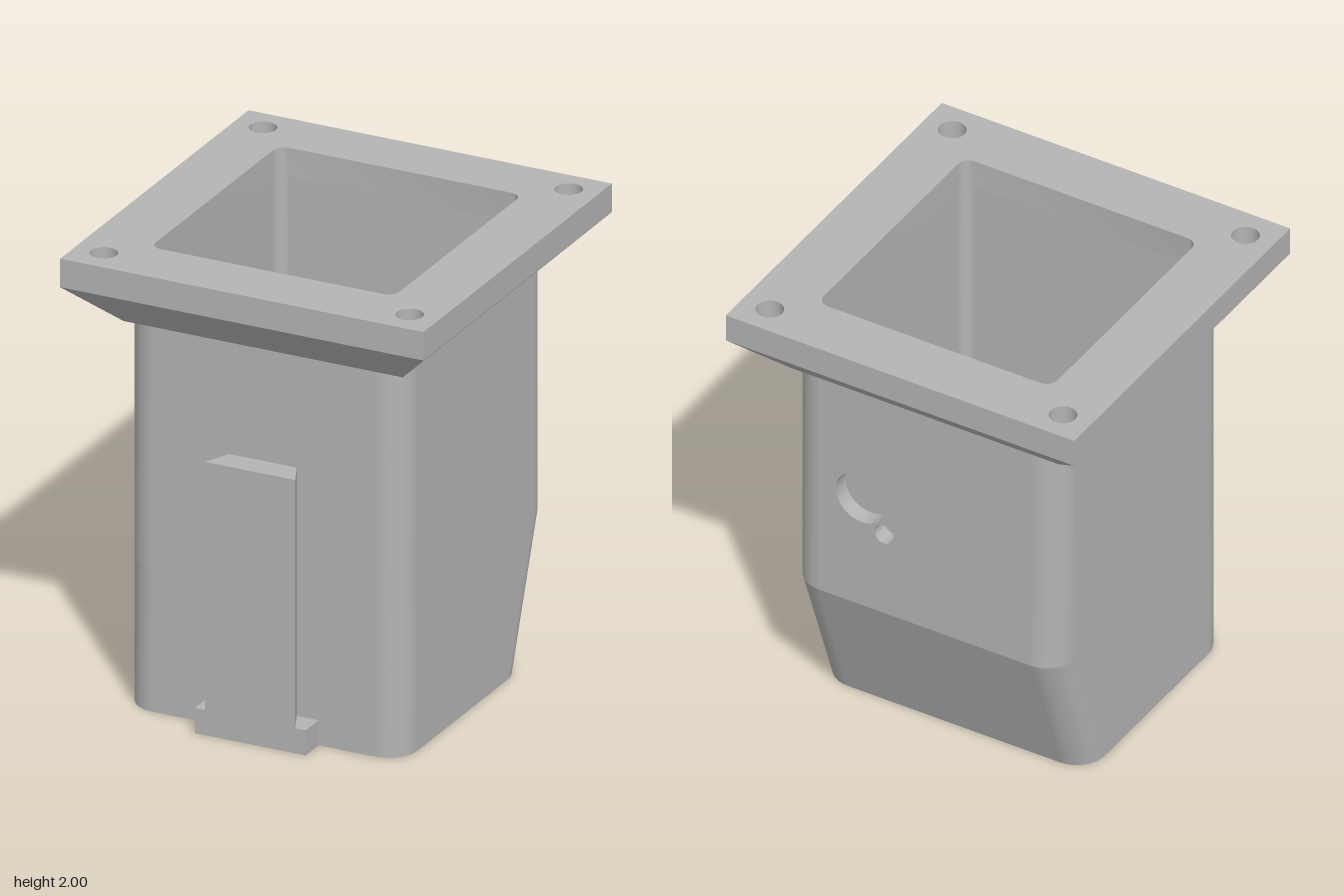
import * as THREE from 'three';
import { toCreasedNormals } from 'three/addons/utils/BufferGeometryUtils.js';

const ARC = 8; // segments per rounded corner

// Rounded rectangle in plan as (x, z) points; n = 0 gives sharp corners
function outline(halfX, front, back, r, n = ARC) {
  const pts = [];
  const corners = [[1, front - r], [-1, front - r], [-1, back + r], [1, back + r]];
  corners.forEach(([side, cz], q) => {
    for (let i = 0; i <= n; i++) {
      const a = (q + (n ? i / n : 0)) * Math.PI / 2;
      pts.push(new THREE.Vector2(side * (halfX - r) + r * Math.cos(a), cz + r * Math.sin(a)));
    }
  });
  return pts;
}

// Wall between two plan outlines; can face inward and leave out its flat back
function loft(lower, y0, upper, y1, { inward = false, openBack = false, flat = false } = {}) {
  const n = lower.length, pos = [], index = [];
  lower.forEach(p => pos.push(p.x, y0, p.y));
  upper.forEach(p => pos.push(p.x, y1, p.y));
  for (let i = 0; i < n; i++) {
    if (openBack && i === n * 3 / 4 - 1) continue;
    const j = (i + 1) % n;
    if (inward) index.push(i, j, n + i, j, n + j, n + i);
    else index.push(i, n + i, j, j, n + i, n + j);
  }
  let geo = new THREE.BufferGeometry();
  geo.setAttribute('position', new THREE.Float32BufferAttribute(pos, 3));
  geo.setIndex(index);
  if (flat) geo = geo.toNonIndexed();
  geo.computeVertexNormals();
  return geo;
}

function circle(x, y, r) {
  return new THREE.Path().absarc(x, y, r, 0, Math.PI * 2, true);
}

function extrude(shape, depth) {
  const geo = new THREE.ExtrudeGeometry(shape, { depth, bevelEnabled: false, curveSegments: 16 });
  return toCreasedNormals(geo, 0.6);
}

// Horizontal plate from a plan shape, hanging down from height top
function slab(shape, top, depth) {
  return extrude(shape, depth).rotateX(Math.PI / 2).translate(0, top, 0);
}

// Horizontal face looking down
function underside(shape, y) {
  return new THREE.ShapeGeometry(shape).rotateX(Math.PI / 2).translate(0, y, 0);
}

export function createModel() {
  const model = new THREE.Group();
  const grey = new THREE.MeshStandardMaterial({ color: 0xb4b4b4 });
  grey.name = 'plain grey';
  const add = (name, geo, parent = model) => {
    const mesh = new THREE.Mesh(geo, grey);
    mesh.name = name;
    parent.add(mesh);
    return mesh;
  };

  const kink = 0.63, neck = 1.69, lip = 1.875, floorY = 0.08;
  const outer = outline(0.63, 0.65, -0.65, 0.13);
  const outerFoot = outline(0.63, 0.65, -0.42, 0.13);
  const inner = outline(0.55, 0.57, -0.575, 0.05);
  const innerFoot = outline(0.55, 0.57, -0.37, 0.05);

  // Hollow body with a back that slopes in towards the foot
  const body = new THREE.Group();
  body.name = 'body';
  model.add(body);
  add('outerLowerWall', loft(outerFoot, 0, outer, kink), body);
  add('outerUpperWall', loft(outer, kink, outer, neck, { openBack: true }), body);
  add('innerLowerWall', loft(innerFoot, floorY, inner, kink, { inward: true }), body);
  add('innerUpperWall', loft(inner, kink, inner, neck, { inward: true, openBack: true }), body);
  add('innerNeckWall', loft(inner, neck, inner, lip, { inward: true }), body);
  add('bottom', underside(new THREE.Shape(outerFoot), 0), body);

  // Flat back panel with a large and a small through hole
  const panel = new THREE.Shape(outline(0.5, neck, kink, 0, 0));
  panel.holes.push(circle(0.295, 1.167, 0.122), circle(0.19, 1.024, 0.045));
  add('backPanel', extrude(panel, 0.075).translate(0, 0, -0.65), body);

  // Cavity floor with four shallow slots
  const floor = new THREE.Shape(innerFoot);
  for (const side of [-1, 1]) {
    for (const z of [0.2575, 0.3725]) {
      const slot = outline(0.14, z + 0.018, z - 0.018, 0, 0);
      slot.forEach(p => { p.x += side * 0.235; });
      floor.holes.push(new THREE.Path(slot));
    }
  }
  add('slottedFloor', slab(floor, floorY, 0.04), body);
  add('slotBase', new THREE.BoxGeometry(1, 0.01, 0.3).translate(0, 0.035, 0.32), body);

  // Square flange with blind screw holes
  const rim = outline(0.82, 0.84, -0.84, 0, 0);
  const flange = new THREE.Shape(rim);
  flange.holes.push(new THREE.Path(inner));
  for (const x of [-0.69, 0.69]) {
    for (const z of [-0.712, 0.707]) {
      flange.holes.push(circle(x, z, 0.058));
      const base = new THREE.CircleGeometry(0.065, 24).rotateX(-Math.PI / 2);
      add('screwHoleBase', base.translate(x, lip + 0.002, z));
    }
  }
  add('flange', slab(flange, 2, 2 - lip));

  // Tapered collar under the flange, square where it meets the rounded body
  const collarFoot = outline(0.63, 0.65, -0.65, 0, 0);
  add('collar', loft(collarFoot, neck, rim, lip, { flat: true }));
  const collarBase = new THREE.Shape(collarFoot);
  collarBase.holes.push(new THREE.Path(outline(0.629, 0.649, -0.649, 0.13)));
  add('collarUnderside', underside(collarBase, neck));

  // Dovetail rail on the front, with a wider stop at its foot
  const rail = new THREE.Shape([[-0.15, 0.645], [0.15, 0.645], [0.203, 0.765], [-0.203, 0.765]]
    .map(([x, z]) => new THREE.Vector2(x, z)));
  add('dovetailRail', slab(rail, 1.2, 1.09));
  add('railStop', new THREE.BoxGeometry(0.5, 0.11, 0.12).translate(0, 0.055, 0.705));

  return model;
}
